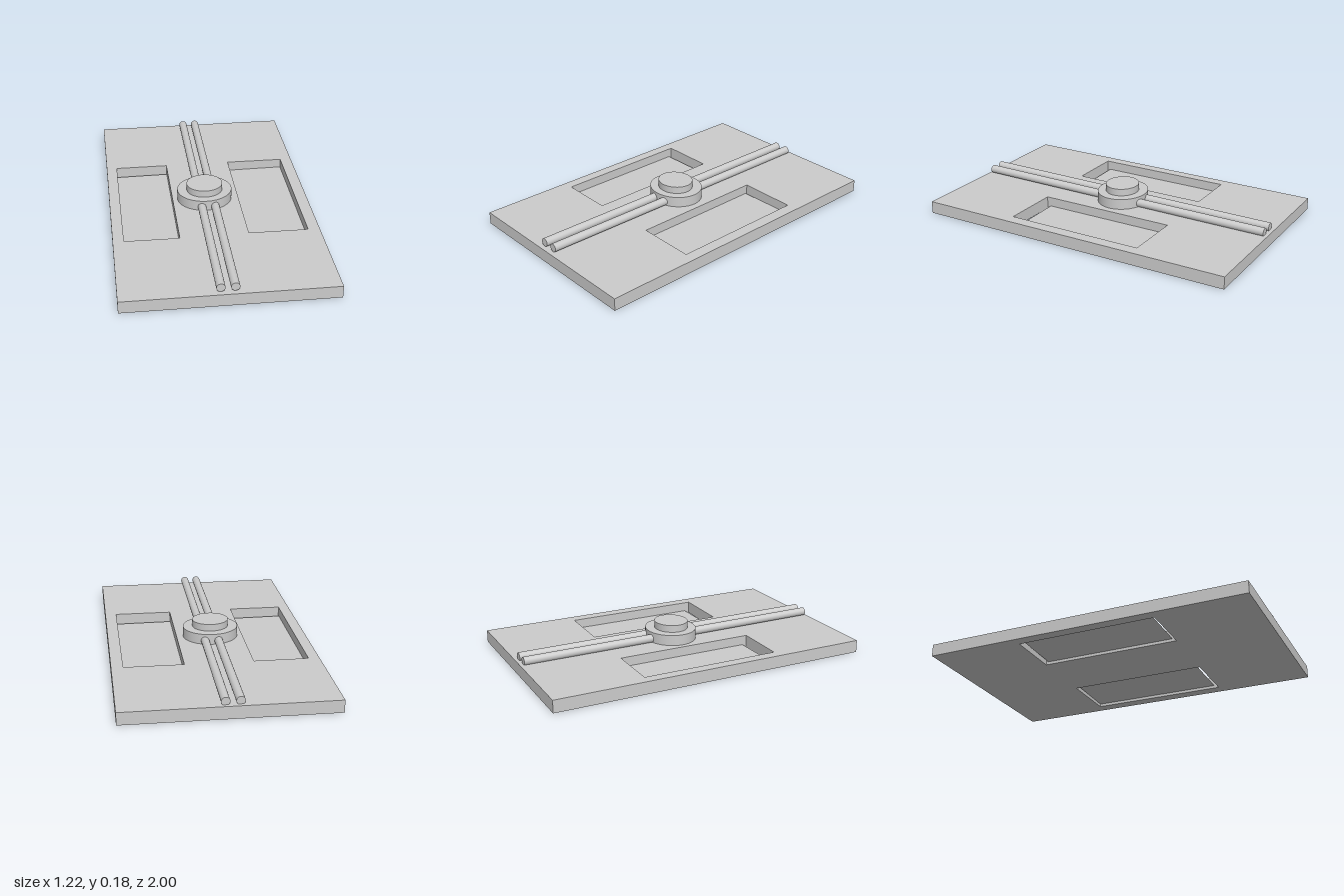
import * as THREE from 'three';

const mat = new THREE.MeshStandardMaterial({ color: 0xcccccc, side: THREE.DoubleSide });

function add(group, name, geometry) {
  const mesh = new THREE.Mesh(geometry, mat);
  mesh.name = name;
  group.add(mesh);
  return mesh;
}

// Closed outline from [x, z] corners; shape y becomes -z once laid flat.
const corners = (pts) => pts.map(([x, z]) => new THREE.Vector2(x, -z));

export function createModel() {
  const model = new THREE.Group();
  model.name = 'slidingPlate';

  // Slightly skewed base plate with two windows
  const top = 0.075;
  const outline = new THREE.Shape(corners([[-0.61, 0.98], [0.61, 1], [0.61, -0.98], [-0.61, -1]]));
  const windows = [
    [[-0.545, -0.435], [-0.22, -0.43], [-0.22, 0.425], [-0.545, 0.417]],
    [[0.187, -0.424], [0.54, -0.416], [0.54, 0.43], [0.187, 0.422]],
  ];
  for (const w of windows) outline.holes.push(new THREE.Path(corners(w)));
  const plate = new THREE.ExtrudeGeometry(outline, { depth: top, bevelEnabled: false });
  add(model, 'basePlate', plate.rotateX(-Math.PI / 2));

  // Thin recessed floors, leaving a slit at each end of the windows
  for (const [name, x0, x1] of [['rightWindowFloor', -0.545, -0.22], ['leftWindowFloor', 0.187, 0.54]]) {
    const floor = new THREE.PlaneGeometry(x1 - x0, 0.815).rotateX(-Math.PI / 2);
    add(model, name, floor).position.set((x0 + x1) / 2, 0.018, -0.008);
  }

  // Pair of long rods, dipping a little towards the back
  for (const [name, xFront, xBack] of [['rightRod', -0.056, -0.052], ['leftRod', 0.024, 0.03]]) {
    const front = new THREE.Vector3(xFront, 0.104, 0.965);
    const back = new THREE.Vector3(xBack, 0.094, -0.968);
    const axis = front.clone().sub(back);
    const rod = add(model, name, new THREE.CylinderGeometry(0.025, 0.025, axis.length(), 32));
    rod.position.copy(front).add(back).multiplyScalar(0.5);
    rod.quaternion.setFromUnitVectors(new THREE.Vector3(0, 1, 0), axis.normalize());
  }

  // Slightly oval hub and the knob on it
  for (const [name, rx, rz, y0, y1, z] of [
    ['hub', 0.168, 0.152, 0.076, 0.14, -0.004],
    ['knob', 0.11, 0.1, 0.14, 0.183, 0],
  ]) {
    const disc = add(model, name, new THREE.CylinderGeometry(1, 1, y1 - y0, 64));
    disc.scale.set(rx, 1, rz);
    disc.position.set(-0.022, (y0 + y1) / 2, z);
  }

  return model;
}
